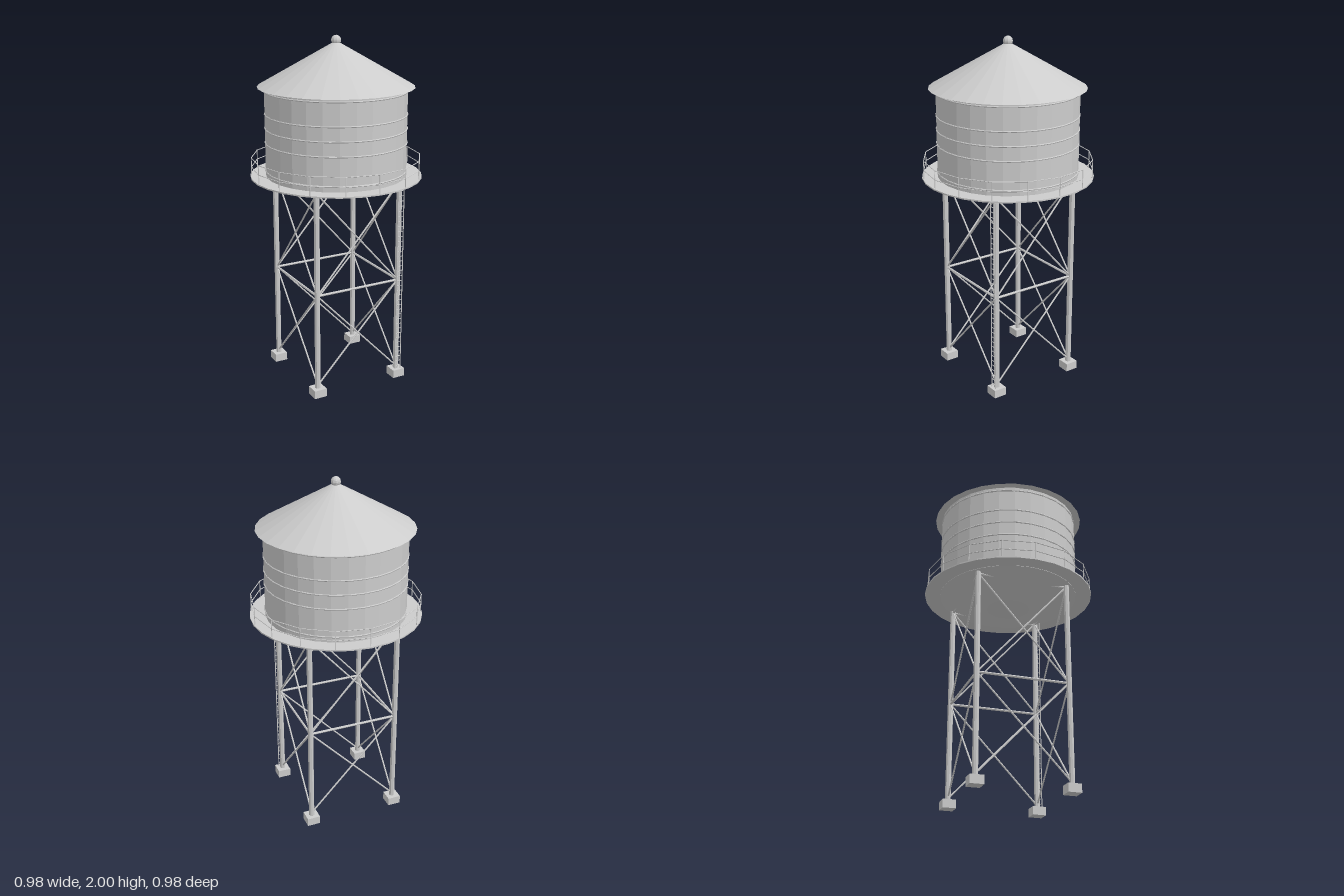
import * as THREE from 'three';

export function createModel() {
  const model = new THREE.Group();
  model.name = 'waterTower';
  const steel = new THREE.MeshStandardMaterial({ color: 0xcccccc, flatShading: true });
  steel.name = 'pale grey steel';
  const SIDES = 28;

  function add(name, geometry, x = 0, y = 0, z = 0, parent = model) {
    const mesh = new THREE.Mesh(geometry, steel);
    mesh.name = name;
    mesh.position.set(x, y, z);
    parent.add(mesh);
    return mesh;
  }
  function group(name) {
    const g = new THREE.Group();
    g.name = name;
    model.add(g);
    return g;
  }
  // Round bar between two points
  function bar(name, a, b, radius, parent, sides = 6) {
    const from = new THREE.Vector3(...a), to = new THREE.Vector3(...b);
    const dir = to.clone().sub(from);
    const mesh = add(name, new THREE.CylinderGeometry(radius, radius, dir.length(), sides), 0, 0, 0, parent);
    mesh.position.copy(from).add(to).multiplyScalar(0.5);
    mesh.quaternion.setFromUnitVectors(new THREE.Vector3(0, 1, 0), dir.normalize());
    return mesh;
  }

  // Tank, dished bottom, roof and finial
  add('tank', new THREE.CylinderGeometry(0.4, 0.4, 0.51, SIDES), 0, 1.465, 0);
  add('tankBottom', new THREE.CylinderGeometry(0.4, 0.125, 0.072, SIDES), 0, 1.175, 0);
  add('roof', new THREE.ConeGeometry(0.44, 0.25, SIDES), 0, 1.845, 0);
  add('finial', new THREE.SphereGeometry(0.028, 10, 8), 0, 1.972, 0);

  // Hoops around the tank
  const hoops = group('hoops');
  for (const y of [1.25, 1.41, 1.49, 1.57, 1.70]) {
    const hoop = add('hoop', new THREE.TorusGeometry(0.399, 0.005, 6, 32), 0, y, 0, hoops);
    hoop.rotation.x = Math.PI / 2;
  }

  // Walkway and its railing
  add('walkway', new THREE.CylinderGeometry(0.488, 0.488, 0.008, SIDES), 0, 1.216, 0);
  const railing = group('railing');
  const POSTS = 16;
  const railPoint = (i, y) => {
    const a = (i / POSTS) * Math.PI * 2;
    return [0.48 * Math.sin(a), y, 0.48 * Math.cos(a)];
  };
  for (let i = 0; i < POSTS; i++) {
    bar('railPost', railPoint(i, 1.216), railPoint(i, 1.325), 0.0025, railing);
    for (const y of [1.27, 1.323]) {
      bar('rail', railPoint(i, y), railPoint(i + 1, y), 0.0025, railing);
    }
  }

  // Legs on block footings
  const LEG = 0.262;
  const legs = group('legs');
  for (const sx of [-1, 1]) for (const sz of [-1, 1]) {
    add('footing', new THREE.BoxGeometry(0.076, 0.048, 0.076), sx * LEG, 0.028, sz * LEG, legs).position.y = 0.024;
    bar('leg', [sx * LEG, 0.04, sz * LEG], [sx * LEG, 1.214, sz * LEG], 0.0165, legs, 8);
  }

  // Cross bracing, the same on all four sides
  for (let i = 0; i < 4; i++) {
    const side = group('bracing');
    side.rotation.y = (i * Math.PI) / 2;
    for (const y of [0.61, 1.195]) {
      bar('strut', [-LEG, y, LEG], [LEG, y, LEG], 0.007, side);
    }
    for (const [low, high] of [[0.06, 0.61], [0.61, 1.2]]) {
      bar('brace', [-LEG, low, LEG], [LEG, high, LEG], 0.005, side);
      bar('brace', [LEG, low, LEG], [-LEG, high, LEG], 0.005, side);
    }
  }

  // Ladder on the front left leg
  const ladder = group('ladder');
  const ladderZ = 0.284;
  for (const x of [LEG - 0.018, LEG + 0.018]) {
    bar('ladderRail', [x, 0.04, ladderZ], [x, 1.214, ladderZ], 0.003, ladder);
  }
  for (let y = 0.07; y < 1.2; y += 0.03) {
    bar('rung', [LEG - 0.018, y, ladderZ], [LEG + 0.018, y, ladderZ], 0.002, ladder);
  }
  return model;
}
